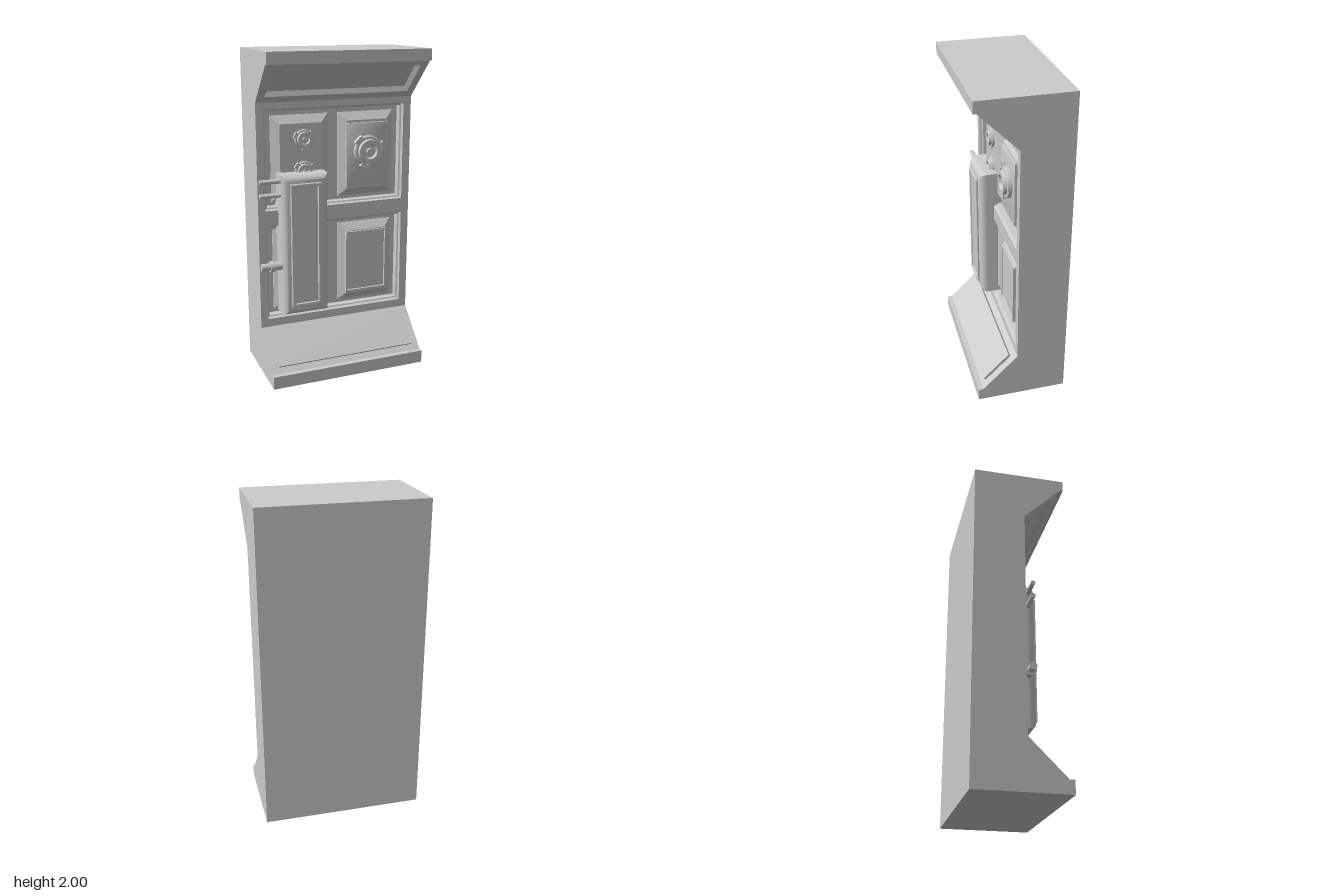
import * as THREE from 'three';
import { toCreasedNormals } from 'three/addons/utils/BufferGeometryUtils.js';

const material = new THREE.MeshStandardMaterial({ color: 0xcccccc });

function part(name, geometry, parent) {
  const mesh = new THREE.Mesh(geometry, material);
  mesh.name = name;
  parent.add(mesh);
  return mesh;
}

// Nested rectangles around a base rectangle; each step is [inset, z], the last one is capped.
function rectLoft([x0, x1, y0, y1], steps) {
  const pos = [];
  const ring = ([d, z]) => [[x0 + d, y0 + d, z], [x1 - d, y0 + d, z], [x1 - d, y1 - d, z], [x0 + d, y1 - d, z]];
  const quad = (a, b, c, d) => pos.push(...a, ...b, ...c, ...a, ...c, ...d);
  const rings = steps.map(ring);
  for (let k = 0; k < rings.length - 1; k++) {
    for (let i = 0; i < 4; i++) {
      const j = (i + 1) % 4;
      quad(rings[k][i], rings[k][j], rings[k + 1][j], rings[k + 1][i]);
    }
  }
  quad(...rings[rings.length - 1]);
  const g = new THREE.BufferGeometry();
  g.setAttribute('position', new THREE.Float32BufferAttribute(pos, 3));
  return toCreasedNormals(g, 0.5);
}

const rectPoints = ([x0, x1, y0, y1]) =>
  [[x0, y0], [x1, y0], [x1, y1], [x0, y1]].map(p => new THREE.Vector2(...p));

// Slab with rectangular openings, front face on z = 0
function frameSlab(rect, holes, depth) {
  const shape = new THREE.Shape(rectPoints(rect));
  for (const h of holes) shape.holes.push(new THREE.Path(rectPoints(h).reverse()));
  return new THREE.ExtrudeGeometry(shape, { depth, bevelEnabled: false }).translate(0, 0, -depth);
}

// Round dial with a sunken centre and three grip tabs on its rim
function dial(name, x, y, z, r, h, turn, parent) {
  const group = new THREE.Group();
  group.name = name;
  group.position.set(x, y, z);
  group.rotation.z = turn;
  parent.add(group);
  const profile = [[1, 0], [1, 0.45], [0.92, 0.55], [0.78, 0.55], [0.74, 1], [0.5, 1], [0.44, 0.6], [0.2, 0.6], [0.16, 0.8], [0, 0.8]]
    .map(([a, b]) => new THREE.Vector2(a * r, b * h));
  const body = new THREE.LatheGeometry(profile, 32).rotateX(Math.PI / 2);
  part('dialBody', toCreasedNormals(body, 0.5), group);
  for (let i = 0; i < 3; i++) {
    const a = i * Math.PI * 2 / 3;
    const s = new THREE.Shape();
    s.absarc(0, 0, r * 1.15, a - 0.3, a + 0.3, false);
    s.absarc(0, 0, r * 0.88, a + 0.3, a - 0.3, true);
    part('dialTab', new THREE.ExtrudeGeometry(s, { depth: h * 0.65, bevelEnabled: false, curveSegments: 6 }), group);
  }
}

// Pipe along x
function pipe(name, x0, x1, y, z, r, parent) {
  const g = new THREE.CylinderGeometry(r, r, x1 - x0, 20).rotateZ(Math.PI / 2);
  part(name, g, parent).position.set((x0 + x1) / 2, y, z);
}

export function createModel() {
  const model = new THREE.Group();
  model.name = 'wallPanelUnit';

  // Side profile (z, y), notched where the front and canopy frames sit
  const d = 0.03 * Math.SQRT1_2;
  const profile = [[-0.28, 0], [0.28, 0], [0.28, 0.08], [0.25, 0.08], [0.03, 0.3], [-0.04, 0.3], [-0.04, 1.7],
    [0.03, 1.7], [0.03 - d, 1.7 + d], [0.26 - d, 1.93 + d], [0.26, 1.93], [0.28, 1.93], [0.28, 2], [-0.28, 2]];
  const side = new THREE.Shape(profile.map(p => new THREE.Vector2(...p)));
  part('body', new THREE.ExtrudeGeometry(side, { depth: 1, bevelEnabled: false })
    .rotateY(-Math.PI / 2).translate(0.5, 0, 0), model);

  // Front wall with two recessed panels
  const recesses = [[-0.455, 0.45, 1.05, 1.66], [-0.455, 0.45, 0.352, 0.957]];
  part('frontFrame', frameSlab([-0.5, 0.5, 0.3, 1.7], recesses, 0.07), model).position.z = 0.03;
  for (const r of recesses) {
    part('recessedPanel', rectLoft(r, [[0, 0.03], [0.006, 0.012], [0.016, 0.008], [0.018, -0.03]]), model);
    // Two raised fields side by side
    for (const x of [-0.4, 0.03]) {
      part('raisedField', rectLoft([x, x + 0.365, r[2] + 0.04, r[3] - 0.045],
        [[0, -0.03], [0, -0.025], [0.05, 0.008]]), model);
    }
  }
  part('dialPlate', rectLoft([0.073, 0.352, 1.155, 1.55], [[0, 0], [0, 0.018], [0.004, 0.02]]), model);
  part('lowerPlate', rectLoft([0.073, 0.352, 0.455, 0.857],
    [[0, 0], [0, 0.022], [0.009, 0.022], [0.012, 0.014]]), model);

  // Dials
  dial('largeDial', 0.215, 1.375, 0.018, 0.095, 0.046, 0.25, model);
  dial('smallDial', -0.2, 1.47, 0.006, 0.06, 0.032, 0.6, model);
  dial('smallDial', -0.2, 1.275, 0.006, 0.06, 0.032, 0.4, model);

  // Canopy slope with a shallow recess
  const canopy = new THREE.Group();
  canopy.name = 'canopy';
  canopy.position.set(0, 1.815, 0.145);
  canopy.rotation.x = Math.PI / 4;
  model.add(canopy);
  const half = 0.115 * Math.SQRT2, opening = [-0.455, 0.455, -0.113, 0.12];
  part('canopyFrame', frameSlab([-0.5, 0.5, -half, half], [opening], 0.03), canopy);
  part('canopyRecess', rectLoft(opening, [[0, 0], [0.018, -0.027]]), canopy);

  // Raised plate on the base slope
  const base = new THREE.Group();
  base.name = 'baseSlope';
  base.position.set(0, 0.19, 0.14);
  base.rotation.x = -Math.PI / 4;
  model.add(base);
  part('basePlate', rectLoft([-0.45, 0.45, -0.115, 0.11], [[0, -0.005], [0, 0.018]]), base);

  // Rounded cover with a framed inset
  const cover = [[0, -0.03], [0, 0.075]];
  for (let i = 1; i <= 8; i++) {
    const a = i / 8 * Math.PI / 2;
    cover.push([0.045 * (1 - Math.cos(a)), 0.075 + 0.045 * Math.sin(a)]);
  }
  part('cover', rectLoft([-0.375, -0.08, 0.39, 1.275], cover), model);
  part('coverInset', rectLoft([-0.325, -0.13, 0.445, 1.225],
    [[0, 0.11], [0, 0.129], [0.004, 0.133], [0.021, 0.133], [0.025, 0.124]]), model);

  // Pipes entering the cover from the side
  for (const y of [1.24, 1.155]) pipe('thinPipe', -0.5, -0.34, y, 0.075, 0.014, model);
  pipe('thickPipe', -0.5, -0.43, 0.71, 0.068, 0.022, model);
  pipe('pipeCollar', -0.447, -0.424, 0.71, 0.068, 0.034, model);
  pipe('pipeSocket', -0.43, -0.36, 0.71, 0.068, 0.026, model);

  return model;
}
